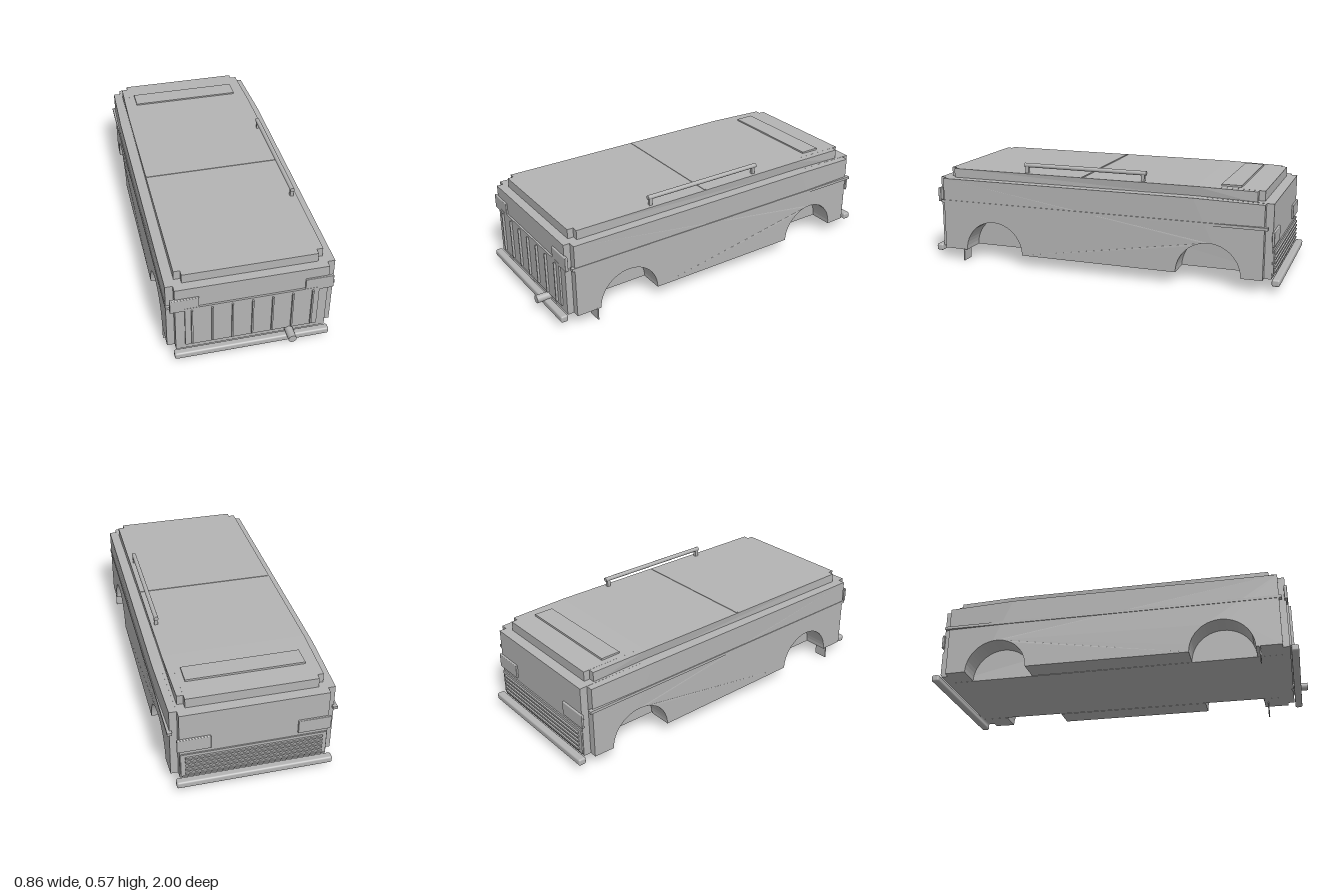
import * as THREE from 'three';
import { RoundedBoxGeometry } from 'three/addons/geometries/RoundedBoxGeometry.js';

const FLOOR = 0.065, BEND = -0.55;

export function createModel() {
  const model = new THREE.Group();
  model.name = 'vanBody';
  const grey = new THREE.MeshStandardMaterial({ color: 0xb4b4b4 });
  grey.name = 'bodyGrey';

  const add = (name, geometry) => {
    const mesh = new THREE.Mesh(geometry, grey);
    mesh.name = name;
    model.add(mesh);
    return mesh;
  };

  // Box given by its minimum and maximum on each axis, optionally rounded
  const block = (name, [x0, x1], [y0, y1], [z0, z1], radius = 0) => {
    const size = [x1 - x0, y1 - y0, z1 - z0];
    const geometry = radius ? new RoundedBoxGeometry(...size, 3, radius) : new THREE.BoxGeometry(...size);
    add(name, geometry).position.set((x0 + x1) / 2, (y0 + y1) / 2, (z0 + z1) / 2);
  };

  // Side profile with a slightly dropped, narrowed rear end, extruded across x
  const slab = (name, [x0, x1], [zBack, zFront], [y0, yTop, yDrop], arches) => {
    const shape = new THREE.Shape();
    shape.moveTo(zBack, y0);
    if (arches) {
      for (const centre of [-0.634, 0.58]) {
        shape.lineTo(centre - 0.17, y0);
        shape.absarc(centre, y0, 0.17, Math.PI, 0, true);
      }
    }
    shape.lineTo(zFront, y0);
    shape.lineTo(zFront, yTop);
    shape.lineTo(BEND, yTop);
    shape.lineTo(zBack, yDrop);
    shape.closePath();
    const geometry = new THREE.ExtrudeGeometry(shape, { depth: x1 - x0, bevelEnabled: false, curveSegments: 12 });
    geometry.rotateY(-Math.PI / 2).translate(x1, 0, 0);
    const p = geometry.attributes.position;
    for (let i = 0; i < p.count; i++) {
      const t = Math.max(0, (BEND - p.getZ(i)) / 0.4);
      p.setX(i, p.getX(i) * (1 - 0.028 * t));
    }
    geometry.computeVertexNormals();
    add(name, geometry);
  };

  // Lower body: core, wheel well sections and outer skins with stepped corners
  const lower = [FLOOR, 0.465, 0.455];
  slab('bodyCore', [-0.295, 0.295], [-0.954, 0.92], lower, false);
  for (const [side, label] of [[1, 'left'], [-1, 'right']]) {
    const span = (a, b) => (side > 0 ? [a, b] : [-b, -a]);
    slab(label + 'WheelWells', span(0.295, 0.387), [-0.954, 0.92], lower, true);
    slab(label + 'BodySide', span(0.387, 0.426), [-0.915, 0.885], lower, true);
    block(label + 'SideTrim', span(0.405, 0.429), [0.328, 0.343], [-0.935, 0.9]);
    block(label + 'MudFlap', span(0.353, 0.428), [0, 0.07], [0.767, 0.773]);
    block(label + 'FrontLamp', span(0.268, 0.413), [0.328, 0.406], [0.912, 0.929], 0.004);
    block(label + 'RearLamp', span(0.22, 0.39), [0.235, 0.312], [-0.964, -0.95], 0.004);
  }

  // Raised roof section with stepped corners
  slab('roofCentre', [-0.342, 0.342], [-0.9, 0.872], [0.45, 0.515, 0.508], false);
  slab('roofSides', [-0.375, 0.375], [-0.868, 0.84], [0.45, 0.515, 0.508], false);
  block('roofSeam', [-0.37, 0.37], [0.51, 0.518], [0.066, 0.076]);
  block('roofVent', [-0.305, 0.305], [0.505, 0.521], [-0.773, -0.667]);

  // Roof rail on two posts
  const rail = add('roofRail', new THREE.CylinderGeometry(0.012, 0.012, 0.695, 12));
  rail.rotation.x = Math.PI / 2;
  rail.position.set(0.348, 0.558, 0.067);
  for (const z of [0.4, -0.262]) block('railPost', [0.339, 0.357], [0.51, 0.555], [z - 0.009, z + 0.009]);

  // Front panel with vertical ribs
  block('frontPanel', [-0.34, 0.34], [0.095, 0.345], [0.91, 0.93]);
  for (let i = -3; i <= 3; i++) {
    const x = i * 0.102;
    block('frontRib', [x - 0.004, x + 0.004], [0.108, 0.333], [0.925, 0.942]);
  }

  // Rear grille with horizontal slats
  block('rearGrille', [-0.372, 0.372], [0.078, 0.215], [-0.961, -0.95]);
  for (let i = 0; i < 5; i++) {
    const y = 0.098 + i * 0.024;
    block('grilleSlat', [-0.35, 0.35], [y - 0.005, y + 0.005], [-0.97, -0.955]);
  }

  // Bumpers and exhaust
  block('frontBumper', [-0.4, 0.4], [0.035, 0.072], [0.924, 0.963], 0.01);
  block('rearBumper', [-0.4, 0.4], [0.035, 0.072], [-1, -0.958], 0.01);
  const exhaust = add('exhaustPipe', new THREE.CylinderGeometry(0.021, 0.021, 0.09, 16));
  exhaust.rotation.x = Math.PI / 2;
  exhaust.position.set(0.195, 0.08, 0.955);

  return model;
}
